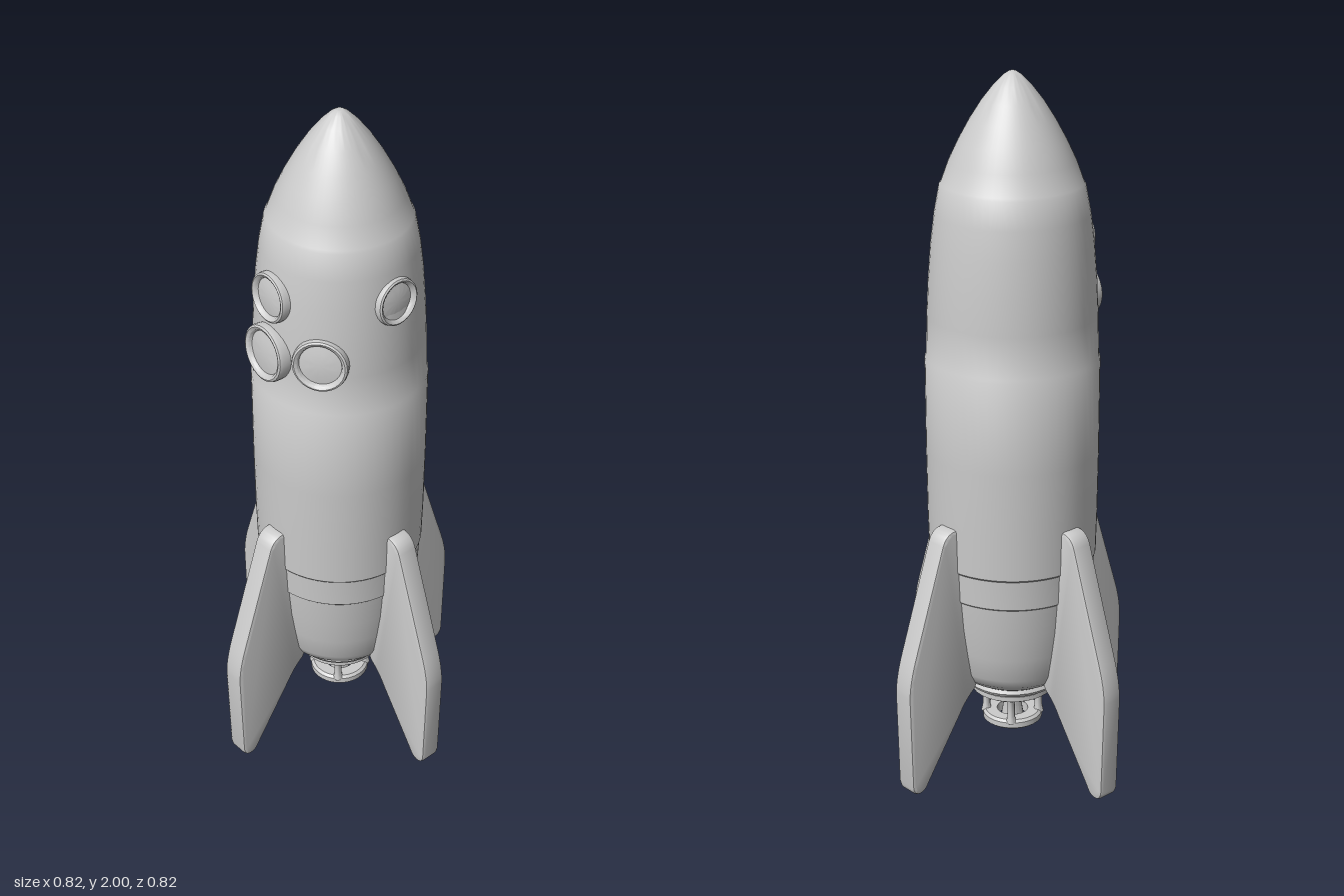
import * as THREE from 'three';
import { toCreasedNormals } from 'three/addons/utils/BufferGeometryUtils.js';

const grey = new THREE.MeshStandardMaterial({ color: 0xcccccc, side: THREE.DoubleSide });

function add(parent, name, geometry) {
  const mesh = new THREE.Mesh(geometry, grey);
  mesh.name = name;
  parent.add(mesh);
  return mesh;
}

// Surface of revolution from [radius, height] pairs
function lathe(points, segments = 48, crease = 0.6) {
  const profile = points.map(([r, y]) => new THREE.Vector2(r, y));
  return toCreasedNormals(new THREE.LatheGeometry(profile, segments), crease);
}

// Round window: raised rim around a slightly domed, recessed pane, facing +z
function portholeGeometry(r) {
  const geometry = lathe([
    [r * 0.97, -0.045], [r, -0.012], [r * 0.97, -0.003], [r * 0.9, 0],
    [r * 0.8, -0.004], [r * 0.75, -0.013], [r * 0.45, -0.009], [0, -0.007],
  ], 28, 0.7);
  return geometry.rotateX(Math.PI / 2);
}

// Swept fin with softened edges, reaching out along +x
function finGeometry() {
  const s = new THREE.Shape();
  s.moveTo(0.15, 0.3);
  s.lineTo(0.17, 0.262);
  s.quadraticCurveTo(0.205, 0.235, 0.225, 0.2);
  s.lineTo(0.345, 0.025);
  s.quadraticCurveTo(0.357, 0, 0.38, 0);
  s.quadraticCurveTo(0.402, 0.002, 0.405, 0.03);
  s.lineTo(0.412, 0.31);
  s.quadraticCurveTo(0.41, 0.36, 0.39, 0.42);
  s.lineTo(0.285, 0.735);
  s.quadraticCurveTo(0.27, 0.775, 0.225, 0.77);
  s.lineTo(0.2, 0.74);
  const bevel = 0.01;
  const geometry = new THREE.ExtrudeGeometry(s, {
    depth: 0.066 - 2 * bevel, bevelEnabled: true, bevelThickness: bevel,
    bevelSize: bevel, bevelOffset: -bevel, bevelSegments: 2, curveSegments: 6,
  });
  geometry.translate(0, 0, -0.033 + bevel);
  return toCreasedNormals(geometry, 0.5);
}

export function createModel() {
  const rocket = new THREE.Group();
  rocket.name = 'rocket';

  // Hull with shallow steps at the plate seams
  add(rocket, 'hull', lathe([
    [0, 0.25], [0.13, 0.25], [0.15, 0.262], [0.176, 0.283], [0.19, 0.31],
    [0.203, 0.38], [0.216, 0.46], [0.224, 0.546], [0.228, 0.55],
    [0.232, 0.636], [0.236, 0.641], [0.239, 0.76], [0.241, 0.95],
    [0.241, 1.215], [0.237, 1.222], [0.234, 1.34], [0.229, 1.44],
    [0.221, 1.54], [0.211, 1.62], [0.197, 1.695], [0.192, 1.702],
    [0.171, 1.76], [0.145, 1.815], [0.115, 1.87], [0.083, 1.92],
    [0.05, 1.962], [0.024, 1.988], [0.01, 1.997], [0, 2],
  ], 56));

  // Portholes: radius, height, angle from the front, distance of the rim from the axis
  const portholes = [
    ['upperPorthole', 0.07, 1.53, -0.07, 0.238],
    ['lowerPorthole', 0.081, 1.365, -0.07, 0.257],
    ['cornerPorthole', 0.076, 1.38, 0.63, 0.246],
    ['sidePorthole', 0.067, 1.535, Math.PI / 2, 0.231],
  ];
  for (const [name, radius, y, angle, distance] of portholes) {
    const window = add(rocket, name, portholeGeometry(radius));
    window.position.set(Math.sin(angle) * distance, y, Math.cos(angle) * distance);
    window.rotation.set(-0.07, angle, 0, 'YXZ');
  }

  // Four fins
  const fin = finGeometry();
  for (let i = 0; i < 4; i++) {
    add(rocket, 'fin' + (i + 1), fin).rotation.y = i * Math.PI / 2;
  }

  // Engine: stepped collar, four struts, hollow exhaust ring and inner nozzle
  const engine = new THREE.Group();
  engine.name = 'engine';
  rocket.add(engine);
  add(engine, 'collar', lathe([
    [0, 0.2], [0.105, 0.2], [0.118, 0.208], [0.118, 0.222], [0.112, 0.228],
    [0.13, 0.23], [0.136, 0.24], [0.13, 0.25], [0.12, 0.27],
  ], 32));
  add(engine, 'exhaustRing', lathe([
    [0.045, 0.1], [0.078, 0.1], [0.086, 0.106], [0.086, 0.122], [0.078, 0.129],
    [0.045, 0.129], [0.045, 0.1],
  ], 32));
  add(engine, 'nozzle', lathe([
    [0, 0.14], [0.018, 0.14], [0.026, 0.112], [0.032, 0.112], [0.026, 0.15], [0.03, 0.205],
  ], 20));
  const strut = lathe([[0.015, 0.12], [0.011, 0.14], [0.011, 0.185], [0.018, 0.205]], 10, 1);
  for (let i = 0; i < 4; i++) {
    const a = Math.PI / 4 + i * Math.PI / 2;
    add(engine, 'strut' + (i + 1), strut).position.set(Math.cos(a) * 0.076, 0, Math.sin(a) * 0.076);
  }
  return rocket;
}
